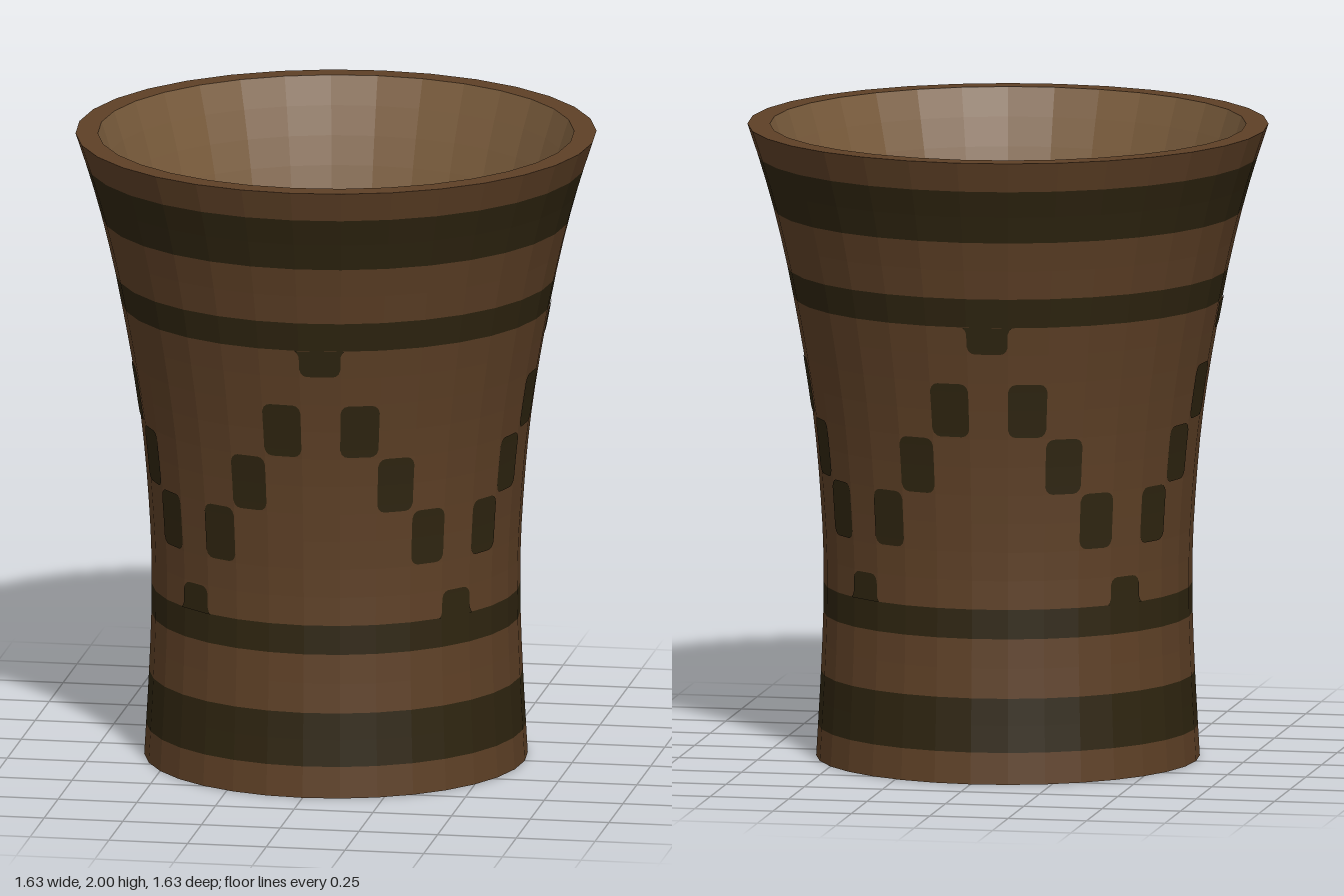
import * as THREE from 'three';

const SIDES = 32;
const STEP = (Math.PI * 2) / SIDES;

// Outer silhouette: [height, radius]
const PROFILE = [[0, 0.6], [0.27, 0.585], [0.5, 0.577], [0.74, 0.581], [1.1, 0.612],
  [1.5, 0.68], [1.74, 0.735], [1.9, 0.782], [2, 0.815]];

// Smooth radius at a height (cubic Hermite between profile points)
function radiusAt(y) {
  const n = PROFILE.length;
  let i = 0;
  while (i < n - 2 && y > PROFILE[i + 1][0]) i++;
  const slope = (k) => {
    const a = PROFILE[Math.max(k - 1, 0)], b = PROFILE[Math.min(k + 1, n - 1)];
    return (b[1] - a[1]) / (b[0] - a[0]);
  };
  const [y0, r0] = PROFILE[i], [y1, r1] = PROFILE[i + 1];
  const h = y1 - y0, t = (y - y0) / h, t2 = t * t, t3 = t2 * t;
  return (2 * t3 - 3 * t2 + 1) * r0 + (t3 - 2 * t2 + t) * h * slope(i)
    + (3 * t2 - 2 * t3) * r1 + (t3 - t2) * h * slope(i + 1);
}

function material(name, color) {
  const m = new THREE.MeshStandardMaterial({ color, flatShading: true });
  m.name = name;
  return m;
}

// Faceted surface of revolution through [radius, height] points
function lathe(name, points, mat) {
  const geo = new THREE.LatheGeometry(points.map(([r, y]) => new THREE.Vector2(r, y)), SIDES);
  const mesh = new THREE.Mesh(geo, mat);
  mesh.name = name;
  return mesh;
}

// Wall points from y0 to y1, moved inward by inset
function wall(y0, y1, inset = 0) {
  const rows = Math.max(1, Math.ceil(Math.abs(y1 - y0) / 0.1));
  return Array.from({ length: rows + 1 }, (_, i) => {
    const y = y0 + ((y1 - y0) * i) / rows;
    return [radiusAt(y) - inset, y];
  });
}

// Painted mark on one facet, as rows of [height, side inset]
function markGeometry(rows) {
  const position = [], index = [];
  rows.forEach(([y, inset], i) => {
    const r = radiusAt(y);
    const half = r * Math.sin(STEP / 2) - inset;
    const z = r * Math.cos(STEP / 2) + 0.003;
    position.push(-half, y, z, half, y, z);
    if (i) {
      const a = 2 * i - 2;
      index.push(a, a + 1, a + 3, a, a + 3, a + 2);
    }
  });
  const geo = new THREE.BufferGeometry();
  geo.setAttribute('position', new THREE.Float32BufferAttribute(position, 3));
  geo.setIndex(index);
  geo.computeVertexNormals();
  return geo;
}

// Corner rounding as [distance from the end, side inset]
const ROUND = [[0, 0.025], [0.003, 0.014], [0.011, 0.005], [0.025, 0]];
// Small flare where a tab meets a band
const FLARE = [[0, -0.012], [0.008, -0.005], [0.02, 0]];

function mark(y0, y1, lowEnd, highEnd) {
  return markGeometry([
    ...lowEnd.map(([d, s]) => [y0 + d, s]),
    [(y0 + y1) / 2, 0],
    ...[...highEnd].reverse().map(([d, s]) => [y1 - d, s]),
  ]);
}

export function createModel() {
  const cup = new THREE.Group();
  cup.name = 'cup';
  const wood = material('brown wood', 0x5e4026);
  const paint = material('dark paint', 0x2f2510);
  const lining = material('light lining', 0x7a5c3c);
  const drink = material('golden drink', 0xa5884d);

  // Outer wall, alternating bare wood and painted bands
  const edges = [0, 0.1, 0.27, 0.457, 0.55, 1.457, 1.55, 1.735, 1.905, 2];
  for (let i = 0; i < edges.length - 1; i++) {
    const painted = i % 2 === 1;
    cup.add(lathe(painted ? 'paintedBand' : 'outerWall', wall(edges[i], edges[i + 1]),
      painted ? paint : wood));
  }

  // Base, rim, inside wall and drink
  const thickness = 0.07, level = 1.46;
  cup.add(lathe('base', [[0, 0], [radiusAt(0), 0]], wood));
  cup.add(lathe('rim', [[radiusAt(2), 2], [radiusAt(2) - thickness, 2]], wood));
  cup.add(lathe('innerWall', wall(2, level, thickness), lining));
  cup.add(lathe('drinkSurface', [[radiusAt(level) - thickness, level], [0, level]], drink));

  // Zigzag of painted marks, one per facet, repeating every quarter turn
  const marks = [
    mark(1.37, 1.457, ROUND, FLARE),
    mark(1.1, 1.272, ROUND, ROUND),
    mark(0.915, 1.092, ROUND, ROUND),
    mark(0.735, 0.912, ROUND, ROUND),
    mark(0.55, 0.637, FLARE, ROUND),
  ];
  const zigzag = new THREE.Group();
  zigzag.name = 'zigzag';
  for (let cell = 0; cell < SIDES; cell++) {
    const k = cell % 8;
    const m = new THREE.Mesh(marks[Math.min(k, 8 - k)], paint);
    m.name = 'zigzagMark';
    m.rotation.y = (cell + 0.5) * STEP;
    zigzag.add(m);
  }
  cup.add(zigzag);
  return cup;
}
